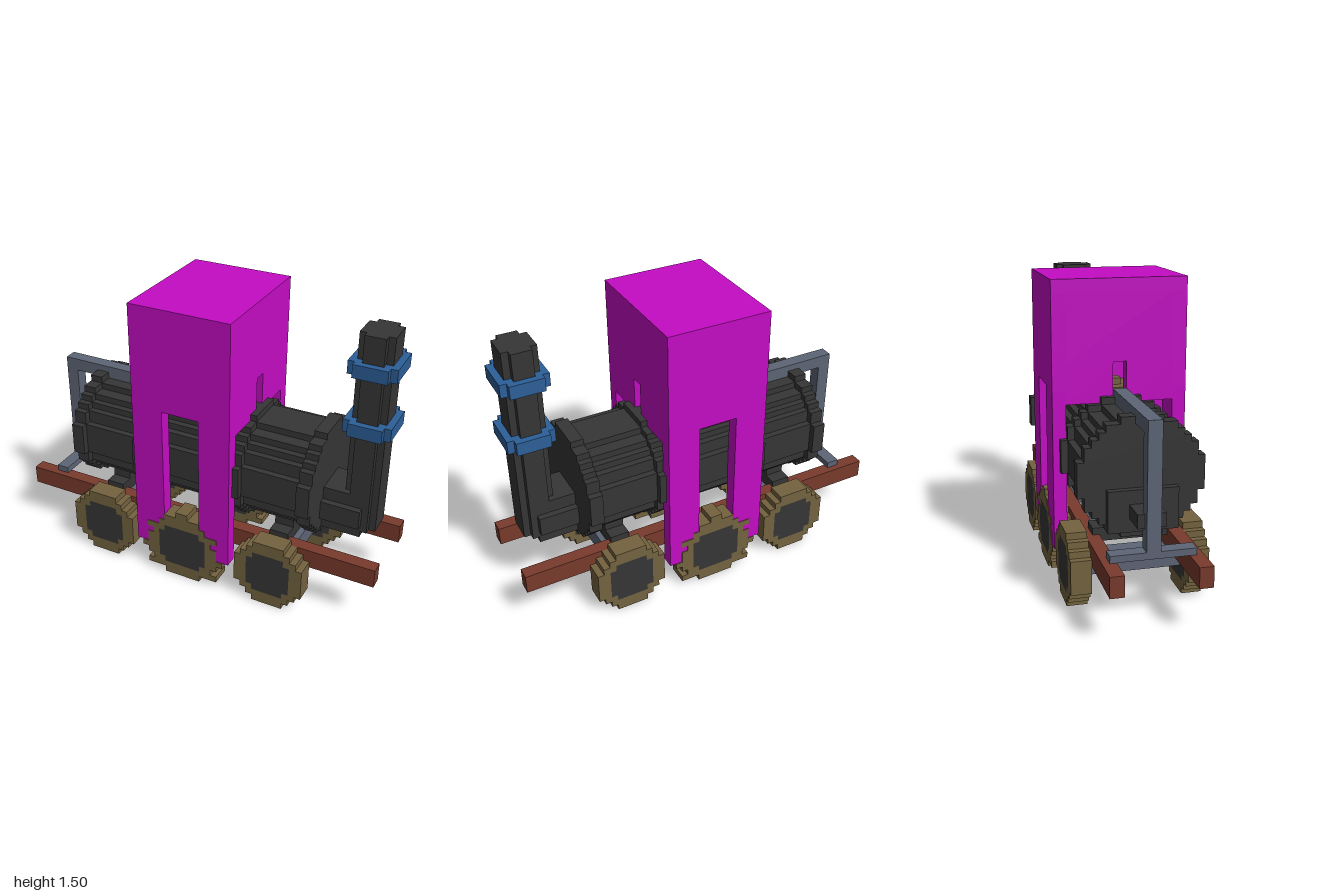
import * as THREE from 'three';

const U = 1 / 30; // one block

const mat = (name, color) => {
  const m = new THREE.MeshStandardMaterial({ color });
  m.name = name;
  return m;
};

// Stepped symmetric outline from half widths, one per block row, bottom up
function steppedPoints(rows, y0) {
  const right = [];
  rows.forEach((w, i) => {
    if (i === 0 || rows[i - 1] !== w) right.push(new THREE.Vector2(w * U, (y0 + i) * U));
    if (rows[i + 1] !== w) right.push(new THREE.Vector2(w * U, (y0 + i + 1) * U));
  });
  const left = right.map(p => new THREE.Vector2(-p.x, p.y)).reverse();
  return right.concat(left);
}

function steppedPrism(rows, y0, depth, hole) {
  const shape = new THREE.Shape(steppedPoints(rows, y0));
  if (hole) shape.holes.push(new THREE.Path(steppedPoints(hole.rows, hole.y0)));
  const g = new THREE.ExtrudeGeometry(shape, { depth: depth * U, bevelEnabled: false });
  return g.translate(0, 0, -depth * U / 2);
}

export function createModel() {
  const root = new THREE.Group();
  root.name = 'steamEngine';
  const purple = mat('magenta', 0xc40cc4);
  const dark = mat('darkIron', 0x363636);
  const brown = mat('bronze', 0x74633f);
  const blue = mat('blueBand', 0x2c5f99);
  const gray = mat('steelGray', 0x5d6575);
  const red = mat('rustBeam', 0x783a2c);

  const add = (name, geometry, material, parent = root) => {
    const m = new THREE.Mesh(geometry, material);
    m.name = name;
    parent.add(m);
    return m;
  };
  // Box given by its limits in blocks
  const box = (name, material, x0, x1, y0, y1, z0, z1) => {
    const g = new THREE.BoxGeometry((x1 - x0) * U, (y1 - y0) * U, (z1 - z0) * U);
    g.translate((x0 + x1) * U / 2, (y0 + y1) * U / 2, (z0 + z1) * U / 2);
    return add(name, g, material);
  };
  // Stepped prism lying along x
  const along = (name, material, rows, y0, x0, x1) =>
    add(name, steppedPrism(rows, y0, x1 - x0).rotateY(Math.PI / 2).translate((x0 + x1) * U / 2, 0, 0), material);

  // Boiler with its collars
  along('boiler', dark, [3, 5, 6, 7, 7, 8, 8, 8, 8, 8, 7, 7, 6, 5, 3], 12, -19.9, 19.9);
  const collar = [3, 5, 6, 7, 8, 8, 9, 9, 9, 9, 9, 8, 8, 7, 6, 5, 3];
  for (const [a, b] of [[-20, -18], [-9, -7], [7, 9], [18, 20]]) along('boilerCollar', dark, collar, 11, a, b);

  // Steam dome
  box('dome', brown, -3, 3, 25, 28, -4, 4);
  box('domeCap', brown, -1, 1, 28, 29, -2, 2);

  // Rear valve
  box('valvePlate', dark, -21, -20, 12, 18, -5, 5);
  box('valveRod', dark, -25, -21, 14, 16, -2, 2);

  // Elbow and chimney
  box('elbow', dark, 20, 26, 12, 19, -3, 3);
  box('elbowSides', dark, 20, 26, 14, 17, -4, 4);
  box('chimney', dark, 23, 28, 13, 44, -2, 2);
  box('chimneySides', dark, 24, 27, 13, 44, -3, 3);
  for (const y of [29, 38]) {
    box('chimneyBand', blue, 22, 29, y, y + 2, -3, 3);
    box('chimneyBandSides', blue, 23, 28, y, y + 2, -4, 4);
  }

  // Chassis beams, saddles and axles
  for (const s of [-1, 1]) {
    box('beam', red, -30, 30, 7, 10, s * 6 - 1, s * 6 + 1);
    box('saddle', dark, s * 14.5 - 1.5, s * 14.5 + 1.5, 9, 11, -6, 6);
    box('saddleTop', dark, s * 14.5 - 1.5, s * 14.5 + 1.5, 11, 13, -4, 4);
  }
  for (const x of [-14.5, 0, 14.5]) box('axle', gray, x - 1.5, x + 1.5, 4, 7, -7, 7);

  // Wheels: bronze rim around an iron disc
  const hub = { rows: [2.5, 3.5, 3.5, 3.5, 3.5, 3.5, 2.5], y0: 2 };
  const midHub = { rows: [3, 4, 4, 4, 4, 4, 3], y0: 2 };
  const rim = [2.5, 3.5, 4.5, 5.5, 5.5, 5.5, 5.5, 5.5, 4.5, 3.5, 2.5];
  const midRim = [3, 6, 5, 6, 7, 6, 6, 5, 6, 4, 3, 1];
  for (const x of [-14.5, 0, 14.5]) {
    const middle = x === 0, h = middle ? midHub : hub;
    for (const s of [-1, 1]) {
      const wheel = new THREE.Group();
      wheel.name = middle ? 'gearWheel' : 'wheel';
      add('rim', steppedPrism(middle ? midRim : rim, 0, middle ? 3.12 : 3, h), brown, wheel);
      add('disc', steppedPrism(h.rows, h.y0, middle ? 3.12 : 3), dark, wheel);
      wheel.position.set(x * U, 0, s * (middle ? 8.56 : 8.5) * U);
      root.add(wheel);
    }
  }

  // Tower: hollow, on four legs, with a slot in each side
  box('towerRoof', purple, -8, 8, 43, 45, -10, 10);
  for (const s of [-1, 1]) {
    const z = s * 9;
    box('towerWall', purple, -8, 8, 29, 43, z - 1, z + 1);
    for (const t of [-1, 1]) {
      box('towerLeg', purple, t * 5.5 - 2.5, t * 5.5 + 2.5, 5, 29, z - 1, z + 1);
      box('towerSide', purple, s * 7 - 1, s * 7 + 1, 27, 33, t * 4.5 - 3.5, t * 4.5 + 3.5);
    }
    box('towerSideTop', purple, s * 7 - 1, s * 7 + 1, 33, 43, -8, 8);
  }

  // Rear frame
  box('frameBar', gray, -26, -7.9, 27, 29, -1, 1);
  box('framePost', gray, -26, -24, 10, 27, -1, 1);
  box('frameFoot', gray, -26, -24, 10, 11, -6, 6);

  return root;
}
